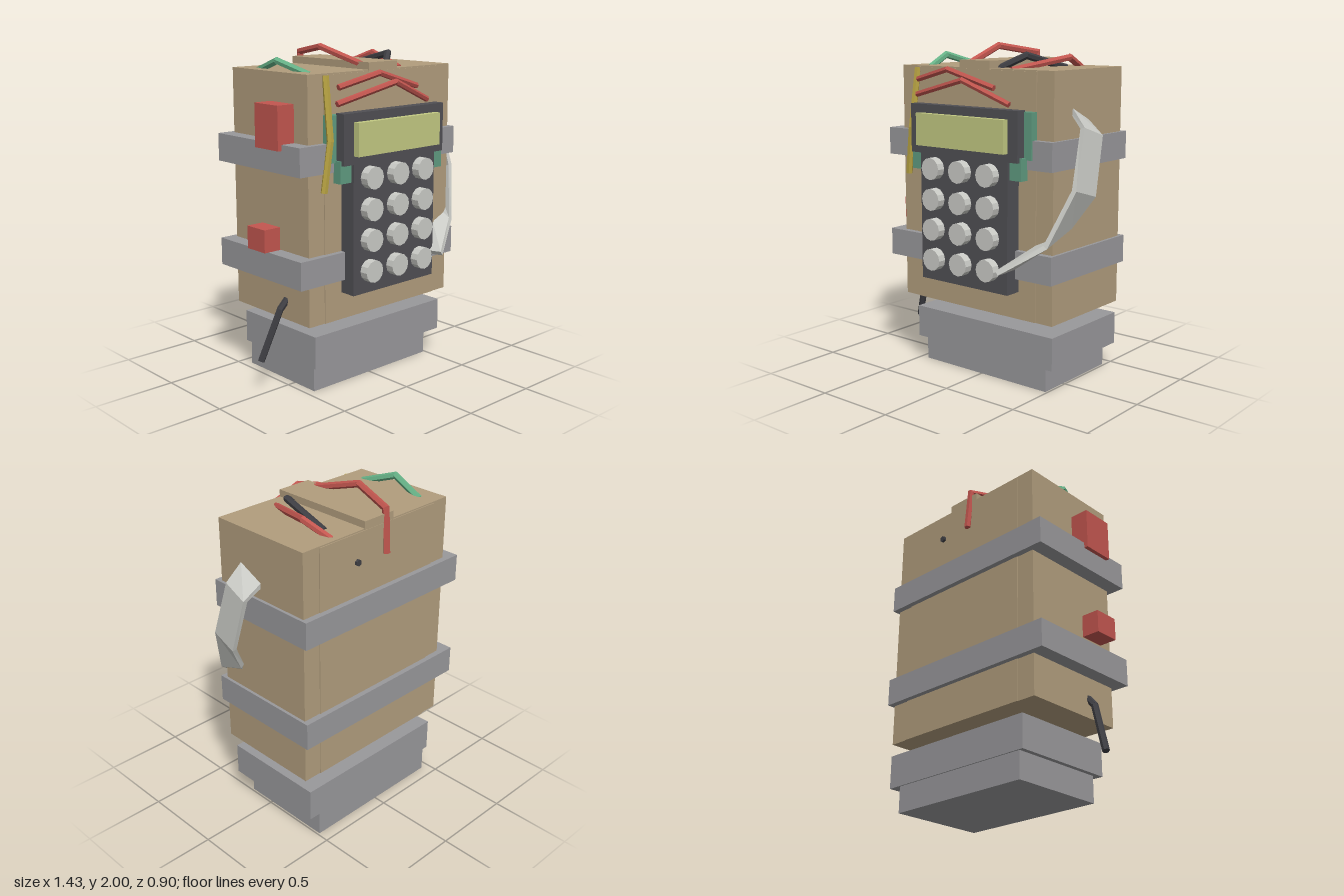
import * as THREE from 'three';

const makeMaterial = (name, color, extra = {}) => {
  const m = new THREE.MeshStandardMaterial({ color, flatShading: true, ...extra });
  m.name = name;
  return m;
};

// Bent wire: one hexagonal tube per stretch, mitred where stretches meet
function wireGeometries(points, radius) {
  const dirs = points.slice(1).map((p, i) => p.clone().sub(points[i]).normalize());
  return dirs.map((d, i) => {
    const a = points[i], b = points[i + 1];
    const length = a.distanceTo(b);
    const geo = new THREE.CylinderGeometry(radius, radius, length, 6);
    geo.applyQuaternion(new THREE.Quaternion().setFromUnitVectors(new THREE.Vector3(0, 1, 0), d));
    const mid = a.clone().add(b).multiplyScalar(0.5);
    geo.translate(mid.x, mid.y, mid.z);
    const pos = geo.attributes.position, v = new THREE.Vector3();
    for (let k = 0; k < pos.count; k++) {
      v.fromBufferAttribute(pos, k);
      const atEnd = v.clone().sub(mid).dot(d) > 0;
      const other = atEnd ? dirs[i + 1] : dirs[i - 1];
      if (!other) continue;
      const n = d.clone().add(other).normalize();
      v.addScaledVector(d, -v.clone().sub(atEnd ? b : a).dot(n) / d.dot(n));
      pos.setXYZ(k, v.x, v.y, v.z);
    }
    geo.computeVertexNormals();
    return geo;
  });
}

// Flat strip lofted through stations given as [front edge, back edge]
function stripGeometry(stations, thickness) {
  const rings = stations.map(([a, b], i) => {
    const p = stations[Math.max(i - 1, 0)][0];
    const q = stations[Math.min(i + 1, stations.length - 1)][0];
    const inward = new THREE.Vector3(q[1] - p[1], p[0] - q[0], 0).setLength(thickness);
    const A = new THREE.Vector3(...a), B = new THREE.Vector3(...b);
    return [A, B, B.clone().add(inward), A.clone().add(inward)];
  });
  const out = [];
  const quad = (a, b, c, d) => out.push(a, b, c, a, c, d);
  for (let i = 0; i < rings.length - 1; i++) {
    for (let k = 0; k < 4; k++) {
      const n = (k + 1) % 4;
      quad(rings[i][k], rings[i + 1][k], rings[i + 1][n], rings[i][n]);
    }
  }
  quad(...rings[0]);
  quad(...rings[rings.length - 1].slice().reverse());
  const geo = new THREE.BufferGeometry().setFromPoints(out);
  geo.computeVertexNormals();
  return geo;
}

export function createModel() {
  const model = new THREE.Group();
  model.name = 'keypadDevice';

  const tan = makeMaterial('tan casing', 0xb19d7d);
  const grey = makeMaterial('grey metal', 0x99989b);
  const dark = makeMaterial('dark plastic', 0x504f54);
  const black = makeMaterial('black wire', 0x3f3f44);
  const green = makeMaterial('green board', 0x5f9b80);
  const mint = makeMaterial('green wire', 0x66b287);
  const lime = makeMaterial('screen green', 0xc2c982);
  const ivory = makeMaterial('pale grey', 0xcacbc6, { side: THREE.DoubleSide });
  const red = makeMaterial('red', 0xc2564f);
  const yellow = makeMaterial('yellow wire', 0xb9a443);

  const add = (name, geo, mat) => {
    const mesh = new THREE.Mesh(geo, mat);
    mesh.name = name;
    model.add(mesh);
    return mesh;
  };
  // Box from its minimum and maximum on each axis
  const box = (name, mat, x0, x1, y0, y1, z0, z1) =>
    add(name, new THREE.BoxGeometry(x1 - x0, y1 - y0, z1 - z0), mat)
      .position.set((x0 + x1) / 2, (y0 + y1) / 2, (z0 + z1) / 2);
  const wire = (name, mat, pts, radius = 0.021) => {
    const group = new THREE.Group();
    group.name = name;
    for (const geo of wireGeometries(pts.map(p => new THREE.Vector3(...p)), radius)) {
      const mesh = new THREE.Mesh(geo, mat);
      mesh.name = name + 'Stretch';
      group.add(mesh);
    }
    model.add(group);
  };

  // Casing with raised front and back panels and a top ridge
  box('casing', tan, -0.545, 0.585, 0.437, 1.866, -0.415, 0.256);
  box('frontBackPanels', tan, -0.43, 0.47, 0.437, 1.858, -0.42, 0.261);
  box('topRidge', tan, -0.09, 0.133, 1.8, 1.908, -0.418, 0.258);

  // Stepped base
  box('lowerBase', grey, -0.448, 0.487, 0, 0.16, -0.425, 0.178);
  box('upperBase', grey, -0.477, 0.566, 0.158, 0.355, -0.433, 0.226);

  // Straps round the casing
  for (const [y0, y1] of [[0.683, 0.848], [1.32, 1.484]])
    box('strap', grey, -0.635, 0.603, y0, y1, -0.452, 0.294);

  // Red blocks on the right side
  box('upperBlock', red, -0.66, -0.54, 1.45, 1.70, -0.063, 0.14);
  box('lowerBlock', red, -0.72, -0.61, 0.875, 1.007, -0.073, 0.083);

  // Circuit boards behind the keypad
  box('circuitBoard', green, -0.435, 0.47, 1.375, 1.64, 0.25, 0.306);
  box('lowerCircuitBoard', green, -0.39, 0.433, 1.26, 1.388, 0.29, 0.347);

  // Keypad, screen and buttons
  box('keypadBody', dark, -0.306, 0.35, 0.6, 1.37, 0.262, 0.365);
  box('keypadHead', dark, -0.38, 0.42, 1.362, 1.65, 0.3, 0.366);
  box('screen', lime, -0.305, 0.352, 1.41, 1.6, 0.35, 0.405);
  const buttonGeo = new THREE.CylinderGeometry(0.066, 0.066, 0.062, 12).rotateX(Math.PI / 2);
  for (const y of [0.734, 0.917, 1.097, 1.28])
    for (const x of [-0.187, 0.02, 0.226])
      add('button', buttonGeo, ivory).position.set(x, y, 0.386);

  // Flat cable looping from the left side to the front
  add('flatCable', stripGeometry([
    [[0.585, 1.655, 0.08], [0.585, 1.58, -0.08]],
    [[0.68, 1.555, 0.1], [0.695, 1.5, -0.06]],
    [[0.7, 1.215, 0.2], [0.715, 1.165, 0.03]],
    [[0.585, 0.895, 0.31], [0.605, 0.98, 0.1]],
    [[0.35, 0.735, 0.45], [0.33, 0.725, 0.3]],
  ], 0.03), ivory);

  // Wires over the top
  wire('centreTopWire', red, [[-0.07, 1.89, 0.18], [-0.115, 1.98, -0.13], [-0.035, 1.935, -0.41], [-0.03, 1.68, -0.43]]);
  wire('leftTopWire', red, [[0.23, 1.855, 0.18], [0.37, 1.92, -0.19], [0.335, 1.85, -0.37]]);
  wire('blackTopWire', black, [[0.125, 1.86, 0.165], [0.25, 1.935, 0.065], [0.29, 1.855, -0.27]]);
  wire('greenTopWire', mint, [[-0.43, 1.85, 0.14], [-0.49, 1.92, -0.07], [-0.435, 1.85, -0.31]]);
  wire('backWireStub', black, [[0.19, 1.69, -0.39], [0.19, 1.69, -0.435]], 0.02);

  // Wires over the front
  wire('upperFrontWire', red, [[-0.37, 1.79, 0.31], [-0.1, 1.857, 0.355], [0.225, 1.762, 0.33]], 0.018);
  wire('lowerFrontWire', red, [[-0.38, 1.7, 0.31], [0.02, 1.8, 0.365], [0.325, 1.675, 0.32]], 0.018);
  wire('yellowWire', yellow, [[-0.42, 1.855, 0.26], [-0.43, 1.5, 0.31], [-0.468, 1.215, 0.3]], 0.02);

  // Loose wire low on the right side
  wire('looseWire', black, [[-0.535, 0.56, 0.047], [-0.585, 0.505, 0.042], [-0.69, 0.2, -0.01]]);

  return model;
}
